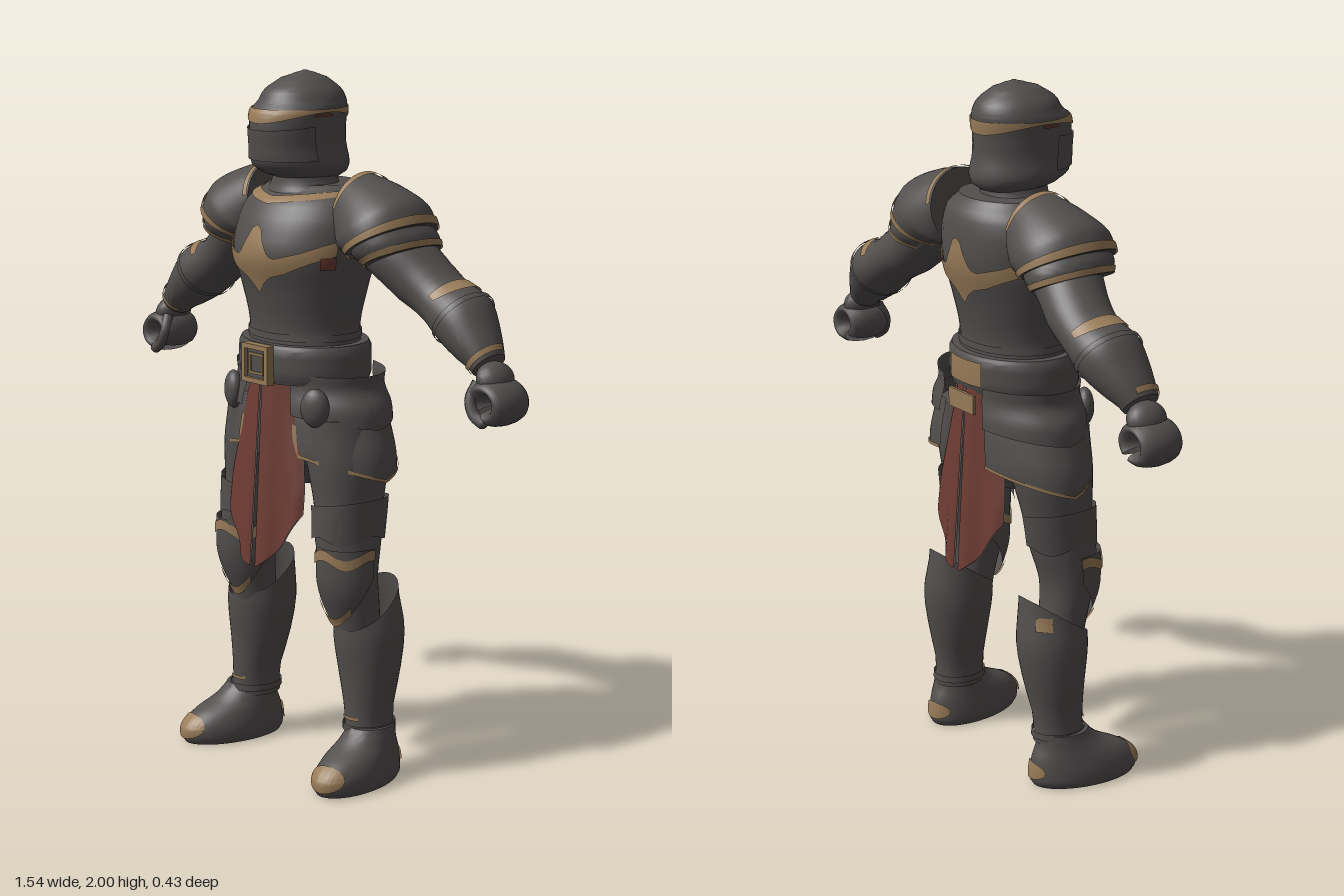
import * as THREE from 'three';
import { toCreasedNormals } from 'three/addons/utils/BufferGeometryUtils.js';

const material = (name, color) => new THREE.MeshStandardMaterial({ name, color, side: THREE.DoubleSide });
const steel = material('dark steel', 0x524f4e);
const gold = material('old gold', 0x987b58);
const red = material('red cloth', 0x6e3c33);
const { PI, sin, cos, abs, min, max } = Math;

// Piecewise linear curve through [x, y] points
function lin(points, x) {
  for (let i = 1; i < points.length; i++) {
    const [x0, y0] = points[i - 1], [x1, y1] = points[i];
    if (x <= x1) return y0 + (y1 - y0) * (x - x0) / (x1 - x0);
  }
  return points[points.length - 1][1];
}

// Surface from a rule f(u, v) with u and v from 0 to 1
function grid(f, nu, nv) {
  const pos = [], index = [];
  for (let j = 0; j <= nv; j++) for (let i = 0; i <= nu; i++) pos.push(...f(i / nu, j / nv));
  for (let j = 0; j < nv; j++) for (let i = 0; i < nu; i++) {
    const a = j * (nu + 1) + i, b = a + 1, c = a + nu + 1;
    index.push(a, c, b, b, c, c + 1);
  }
  const geo = new THREE.BufferGeometry();
  geo.setAttribute('position', new THREE.Float32BufferAttribute(pos, 3));
  geo.setIndex(index);
  return toCreasedNormals(geo, 0.8);
}

// Sections are [x, y, z, radius across, radius in z, tilt in degrees], listed upwards
function section(S, t) {
  const i = min(S.length - 2, max(0, Math.floor(t))), f = t - i;
  const q = k => S[min(S.length - 1, max(0, k))];
  return [0, 1, 2, 3, 4, 5].map(k => {
    const [p0, p1, p2, p3] = [q(i - 1), q(i), q(i + 1), q(i + 2)].map(s => s[k] || 0);
    if (k === 1) return p1 + (p2 - p1) * f;
    const m1 = (p2 - p0) / 2, m2 = (p3 - p1) / 2;
    return p1 + m1 * f + (3 * (p2 - p1) - 2 * m1 - m2) * f * f + (2 * (p1 - p2) + m1 + m2) * f * f * f;
  });
}
function point(S, a, t, grow = 0, scale = 1) {
  const [x, y, z, rx, rz, tilt] = section(S, t), k = tilt * PI / 180;
  const r = (rx + grow) * cos(a) * scale;
  return [x + r * cos(k), y + r * sin(k), z + (rz + grow) * sin(a) * scale];
}

// Closed solid through all sections
function solid(S) {
  const rows = 4 * (S.length - 1);
  return grid((u, v) => {
    const j = Math.round(v * (rows + 2)) - 1, end = j < 0 || j > rows;
    return point(S, u * 2 * PI, min(rows, max(0, j)) / 4, 0, end ? 0 : 1);
  }, 40, rows + 2);
}

// Piece of a section surface between two angles and two edges (heights, or section indices)
function plate(S, a0, a1, lo, hi, grow = 0.005, byHeight = true, nu = 40) {
  const at = (e, a) => {
    const h = typeof e === 'function' ? e(a) : e;
    return byHeight ? lin(S.map((s, i) => [s[1], i]), h) : h;
  };
  return grid((u, v) => {
    const a = a0 + (a1 - a0) * u, l = at(lo, a);
    return point(S, a, l + (at(hi, a) - l) * v, grow);
  }, nu, 10);
}

function frame(size, hole, depth) {
  const square = (p, s) => p.moveTo(-s, -s).lineTo(s, -s).lineTo(s, s).lineTo(-s, s).closePath();
  const shape = square(new THREE.Shape(), size);
  shape.holes.push(square(new THREE.Path(), hole));
  return new THREE.ExtrudeGeometry(shape, { depth, bevelEnabled: false });
}

// Half of a hanging cloth, facing f (1 front, -1 back)
const cloth = (f, z0, z1) => grid((u, v) => {
  const end = .61 + .17 * u ** 1.6;
  const x = .004 + u * (.1 + .045 * min(1, v * 1.25)) + .006 * v;
  return [x, 1.15 + (end - 1.15) * v, f * (z0 + (z1 - z0) * v - .055 * u * u + .008 * v * sin(u * 9))];
}, 16, 16);

const TORSO = [[0, 1.24, 0, .175, .145], [0, 1.3, 0, .172, .145], [0, 1.4, 0, .195, .165], [0, 1.5, 0, .215, .192],
  [0, 1.59, -.012, .215, .18], [0, 1.65, -.025, .19, .155], [0, 1.69, -.04, .14, .11]];
const NECK = [[0, 1.62, 0, .13, .11], [0, 1.66, 0, .122, .105], [0, 1.69, 0, .095, .095], [0, 1.74, 0, .085, .09]];
const HELMET = [[0, 1.705, -.01, .08, .095], [0, 1.72, 0, .106, .125], [0, 1.745, .016, .122, .147], [0, 1.8, .025, .116, .146],
  [0, 1.86, .027, .118, .147], [0, 1.895, .022, .12, .144], [0, 1.92, .01, .112, .13], [0, 1.95, .008, .095, .113],
  [0, 1.98, .004, .058, .07], [0, 1.993, 0, .025, .03], [0, 2, 0, .006, .006]];
const BELT = [[0, 1.14, 0, .2, .165], [0, 1.16, 0, .207, .172], [0, 1.235, 0, .205, .172], [0, 1.25, 0, .198, .165]];
const PELVIS = [[0, .84, 0, .1, .07], [0, .92, 0, .2, .12], [0, 1.05, 0, .22, .14], [0, 1.2, 0, .19, .14]];
const HIP_UPPER = [[0, 1.02, -.02, .284, .175], [0, 1.08, -.02, .278, .172], [0, 1.13, -.02, .248, .165], [0, 1.17, -.02, .252, .165]];
const HIP_LOWER = [[0, .87, -.02, .314, .17], [0, .95, -.02, .308, .172], [0, 1.03, -.02, .28, .168], [0, 1.09, -.02, .26, .16]];
const THIGH = [[.225, .42, 0, .065, .065], [.225, .5, .01, .07, .07], [.22, .6, .025, .078, .08], [.207, .7, .02, .086, .1],
  [.195, .8, .008, .09, .105], [.18, .92, 0, .11, .12], [.16, 1.05, 0, .11, .12]];
const CUISSE = [[.2, .69, .015, .09, .108], [.2, .76, .01, .09, .112], [.195, .83, .005, .097, .115]];
const KNEE = [[.215, .45, .015, .055, .055], [.218, .52, .025, .078, .075], [.22, .58, .032, .089, .086],
  [.22, .64, .034, .088, .088], [.22, .69, .03, .086, .092]];
const GREAVE = [[.25, .13, -.025, .064, .076], [.247, .2, -.025, .064, .075], [.24, .3, -.033, .085, .088],
  [.235, .4, -.036, .097, .103], [.232, .46, -.036, .096, .104], [.226, .52, -.034, .089, .098], [.224, .58, -.034, .088, .092]];
const FOOT = [[0, 0, .047, .082, .158], [0, .015, .047, .089, .167], [0, .05, .046, .088, .165], [0, .085, .03, .08, .143],
  [0, .12, 0, .07, .1], [0, .16, -.02, .062, .076]];
const ARM = [[.66, 1.255, -.07, .043, .055, 50], [.6, 1.315, -.08, .068, .083, 52], [.545, 1.365, -.088, .083, .097, 55],
  [.47, 1.405, -.09, .072, .09, 58], [.4, 1.45, -.08, .08, .095, 52], [.33, 1.51, -.06, .085, .1, 50], [.24, 1.57, -.05, .09, .1, 50]];
const PAULDRON = [[.31, 1.552, -.045, .112, .145, 30], [.278, 1.585, -.045, .128, .145, 39], [.235, 1.6, -.048, .12, .132, 57],
  [.18, 1.62, -.05, .108, .108, 82]];
const LAME = [[.342, 1.512, -.055, .086, .125, 25], [.325, 1.535, -.05, .098, .135, 27], [.305, 1.56, -.045, .1, .135, 30]];

export function createModel() {
  const model = new THREE.Group();
  let parent = model;
  const add = (name, mat, geo, x = 0, y = 0, z = 0) => {
    const mesh = new THREE.Mesh(geo, mat);
    mesh.name = name;
    mesh.position.set(x, y, z);
    parent.add(mesh);
    return mesh;
  };

  // Head and neck
  add('helmet', steel, solid(HELMET));
  add('helmetBand', gold, plate(HELMET, 0, 2 * PI, a => 1.893 - .03 * sin(a) ** 2, 1.902, .004));
  add('visorRidge', steel, plate(HELMET, .25, PI - .25, 1.76, a => 1.86 - .015 * sin(a), .005));
  add('gorget', steel, solid(NECK));

  // Breastplate and backplate, each with a chevron inlay
  add('torso', steel, solid(TORSO));
  add('necklineTrim', gold, plate(TORSO, .15, PI - .15, a => 1.64 + .025 * abs(cos(a)), a => 1.66 + .018 * abs(cos(a))));
  const top = [[0, 1.585], [.018, 1.575], [.034, 1.54], [.055, 1.505], [.075, 1.497], [.14, 1.517], [.21, 1.552]];
  const bottom = [[0, 1.392], [.03, 1.425], [.055, 1.442], [.1, 1.455], [.21, 1.512]];
  const across = a => abs(.215 * cos(a));
  for (const [name, s] of [['chestChevron', 1], ['backChevron', -1]])
    add(name, gold, plate(TORSO, s > 0 ? .35 : .35 + PI, s > 0 ? PI - .35 : 2 * PI - .35,
      a => lin(bottom, across(a)), a => lin(top, across(a)), .005, true, 80));
  add('waistRim', steel, plate(TORSO, 0, 2 * PI, 1.26, 1.28, .004));

  // Belt, buckle and pelvis
  add('pelvis', steel, solid(PELVIS));
  add('belt', steel, solid(BELT));
  add('backBeltPlate', gold, plate(BELT, PI * 1.5 - .35, PI * 1.5 + .35, 1.165, 1.235));
  add('bucklePlate', steel, new THREE.BoxGeometry(.09, .09, .02), 0, 1.193, .17);
  add('buckleFrame', gold, frame(.055, .041, .025), 0, 1.193, .165);
  add('buckleInnerFrame', gold, frame(.03, .023, .02), 0, 1.193, .165);
  add('backTabardClasp', gold, new THREE.BoxGeometry(.12, .055, .009), 0, 1.112, -.18);

  for (const s of [1, -1]) {
    const side = new THREE.Group();
    side.name = s > 0 ? 'leftSide' : 'rightSide';
    side.scale.x = s;
    model.add(side);
    parent = side;

    // Split tabard with dark lining, front and back
    add('frontTabard', red, cloth(1, .165, .2));
    add('frontTabardLining', steel, cloth(1, .16, .195));
    add('backTabard', red, cloth(-1, .17, .207));
    add('backTabardLining', steel, cloth(-1, .165, .202));

    // Hip plates and pouch
    const hipEdge = a => .875 + .055 * abs(a);
    add('upperHipPlate', steel, plate(HIP_UPPER, -1.2, 1.2, a => 1.02 + .03 * abs(a), 1.17, .004));
    add('lowerHipPlate', steel, plate(HIP_LOWER, -1.2, 1.2, hipEdge, 1.09, 0));
    add('hipPlateTrim', gold, plate(HIP_LOWER, -1.2, 1.2, hipEdge, a => hipEdge(a) + .01, .004));
    add('hipPlateFrontTrim', gold, plate(HIP_LOWER, 1.15, 1.2, .945, 1.03, .004));
    const pouch = add('pouch', steel, new THREE.SphereGeometry(1, 20, 14), .175, 1.085, .118);
    pouch.scale.set(.042, .055, .027);
    pouch.rotation.y = .5;

    // Leg
    add('thigh', steel, solid(THIGH));
    add('thighPlate', steel, plate(CUISSE, -1.6, 2.1, a => .7 + .02 * cos(a * 2) ** 2, a => .81 + .015 * cos(a), .004));
    const kneeLow = a => .455 + .13 * (1 - sin(a));
    const kneeTop = a => .66 + .012 * cos(4 * a);
    add('kneeGuard', steel, plate(KNEE, -.2, PI + .2, a => min(.62, kneeLow(a)), .69, .002));
    add('kneeTopTrim', gold, plate(KNEE, -.2, PI + .2, a => kneeTop(a) - .014, a => kneeTop(a) + .016, .006));
    add('kneeLowerTrim', gold, plate(KNEE, .7, PI - .7, kneeLow, a => kneeLow(a) + .025, .007));
    add('greave', steel, plate(GREAVE, 0, 2 * PI, .13, a => .51 - .065 * sin(a), 0));
    add('ankleRim', steel, plate(GREAVE, 0, 2 * PI, .145, .165, .006));
    add('ankleTrim', gold, plate(GREAVE, 1.1, PI - 1.1, .18, .19, .004));
    if (s < 0) add('greaveBackInlay', gold, plate(GREAVE, -1.05, -.55, .49, .53, .004));

    // Foot, turned slightly outwards
    const foot = new THREE.Group();
    foot.name = 'foot';
    foot.position.set(.268, 0, 0);
    foot.rotation.y = .17;
    side.add(foot);
    parent = foot;
    add('boot', steel, solid(FOOT));
    const oval = (mid, wide, high) => d => a => .05 + d * high * Math.sqrt(max(0, 1 - ((a - mid) / wide) ** 2));
    const toe = oval(PI / 2, .68, .034), heel = oval(PI * 1.5, .55, .026);
    add('toeCap', gold, plate(FOOT, PI / 2 - .68, PI / 2 + .68, toe(-1), toe(1)));
    add('heelCap', gold, plate(FOOT, PI * 1.5 - .55, PI * 1.5 + .55, heel(-1), heel(1)));
    parent = side;

    // Arm and shoulder
    add('arm', steel, solid(ARM));
    add('wristTrim', gold, plate(ARM, -.5, PI - .5, .12, .32, .005, false));
    add('elbowTrim', gold, plate(ARM, -1.15, 1.15, a => 2.8 - .4 * cos(a), 2.9, .005, false));
    add('forearmCuff', steel, plate(ARM, 0, 2 * PI, 1.9, 2.1, .005, false));
    add('shoulderLame', steel, solid(LAME));
    add('lameTrim', gold, plate(LAME, 0, 2 * PI, 0, .6, .004, false));
    add('pauldron', steel, solid(PAULDRON));
    add('pauldronTrim', gold, plate(PAULDRON, 0, 2 * PI, 0, .45, .005, false));
    add('pauldronInnerTrim', gold, plate(PAULDRON, -1.4, 1.4, 2.75, 3, .005, false));
    add('armpitCloth', red, plate(TORSO, .35, .58, 1.47, 1.505, .006));
    add('helmetSideInlay', red, plate(HELMET, -.1, .3, 1.882, 1.89, .004));

    // Curled hand
    const hand = add('palmAndFingers', steel, new THREE.TorusGeometry(.041, .023, 14, 30, PI * 1.85), .699, 1.163, -.067);
    hand.scale.set(1, 1.15, 2.9);
    hand.rotation.z = -PI * .6;
    const knuckles = add('handBack', steel, new THREE.SphereGeometry(1, 20, 14), .685, 1.222, -.07);
    knuckles.scale.set(.04, .05, .06);
    knuckles.rotation.z = .6;
    const thumb = new THREE.CatmullRomCurve3([[.66, 1.215, -.03], [.652, 1.17, -.01], [.67, 1.13, -.006], [.697, 1.112, -.01]]
      .map(p => new THREE.Vector3(...p)));
    add('thumb', steel, new THREE.TubeGeometry(thumb, 12, .016, 10));
    add('thumbTip', steel, new THREE.SphereGeometry(.016, 12, 8), .697, 1.112, -.01);
    parent = model;
  }
  return model;
}
